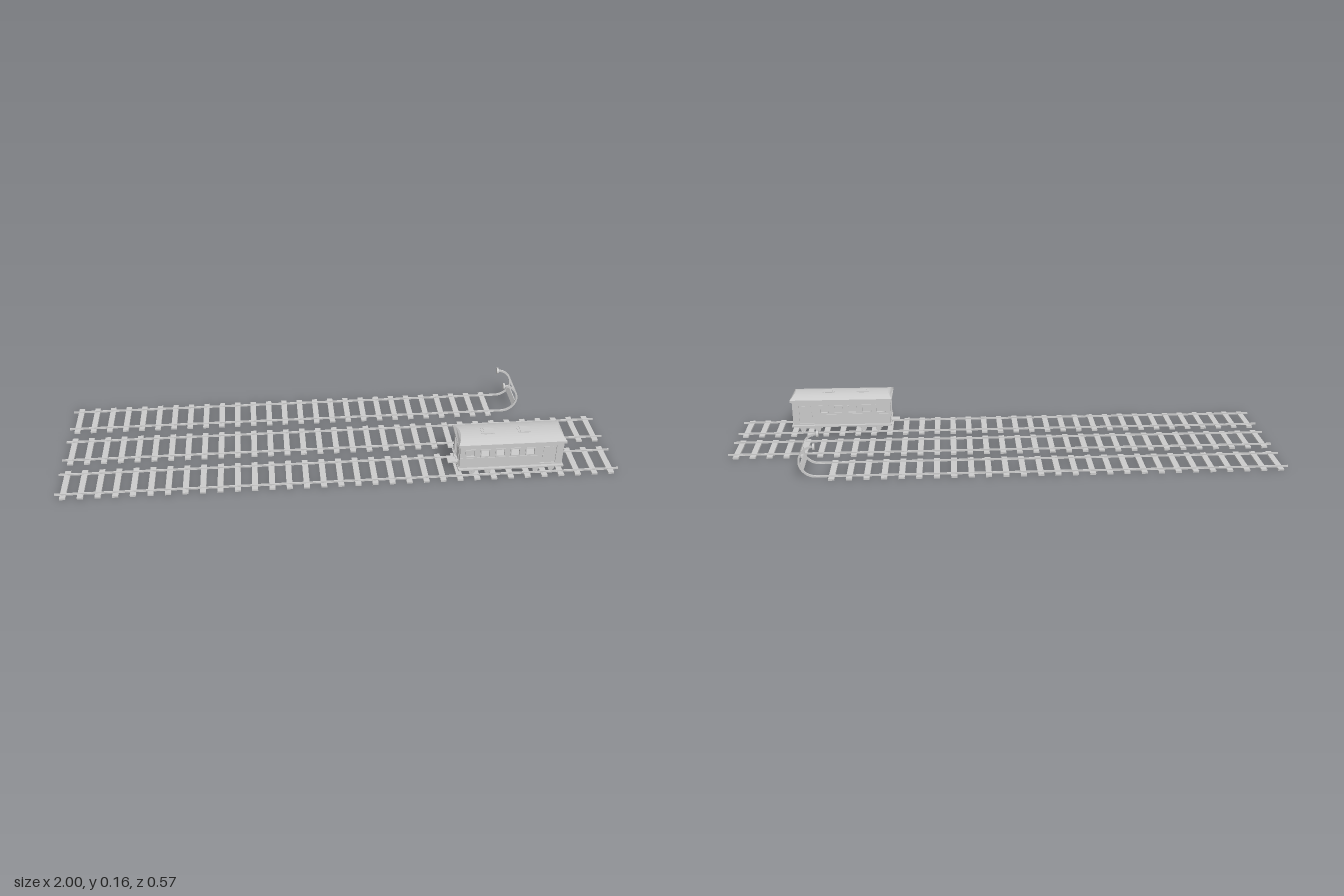
import * as THREE from 'three';

const mat = new THREE.MeshStandardMaterial({ color: 0xcccccc, flatShading: true });

function add(parent, name, geo, x = 0, y = 0, z = 0) {
  const m = new THREE.Mesh(geo, mat);
  m.name = name;
  m.position.set(x, y, z);
  parent.add(m);
  return m;
}

// Box given by its limits on each axis
function span(parent, name, x0, x1, y0, y1, z0, z1) {
  return add(parent, name, new THREE.BoxGeometry(x1 - x0, y1 - y0, z1 - z0),
    (x0 + x1) / 2, (y0 + y1) / 2, (z0 + z1) / 2);
}

function rectangle(target, x0, x1, y0, y1) {
  target.moveTo(x0, y0).lineTo(x1, y0).lineTo(x1, y1).lineTo(x0, y1).closePath();
  return target;
}

// Flat panel with rectangular openings, each [x0, x1, y0, y1]
function panel(x0, x1, y0, y1, depth, openings) {
  const shape = rectangle(new THREE.Shape(), x0, x1, y0, y1);
  for (const o of openings) shape.holes.push(rectangle(new THREE.Path(), ...o));
  return new THREE.ExtrudeGeometry(shape, { depth, bevelEnabled: false });
}

const GAUGE = 0.0575;

function track(z, ties, railEnd) {
  const g = new THREE.Group();
  g.name = 'track';
  g.position.z = z;
  for (let i = 0; i < ties; i++) {
    const x = -0.97 + i * 0.0606;
    span(g, 'tie', x - 0.0105, x + 0.0105, 0, 0.007, -0.0805, 0.0805);
  }
  for (const s of [-1, 1]) {
    span(g, 'railFoot', -1, railEnd, 0.005, 0.0075, s * GAUGE - 0.004, s * GAUGE + 0.004);
    span(g, 'railHead', -1, railEnd, 0.0075, 0.011, s * GAUGE - 0.0025, s * GAUGE + 0.0025);
  }
  return g;
}

// Rails bent upward at the end of the track, with cross plates and round pads
function bufferStop() {
  const g = new THREE.Group();
  g.name = 'bufferStop';
  const cx = 0.66, cy = 0.0635, r = 0.056, a0 = -Math.PI / 2, a1 = 1.45;
  const arc = new THREE.Shape();
  arc.absarc(cx, cy, r + 0.0035, a0, a1, false);
  arc.absarc(cx, cy, r - 0.0035, a1, a0, true);
  const bent = new THREE.ExtrudeGeometry(arc, { depth: 0.006, bevelEnabled: false, curveSegments: 16 });
  for (const s of [-1, 1]) {
    add(g, 'bentRail', bent, 0, 0, s * GAUGE - 0.003);
    add(g, 'bufferPad', new THREE.CylinderGeometry(0.0125, 0.0125, 0.007, 12), 0.661, 0.1185, s * GAUGE)
      .rotation.z = Math.PI / 2;
  }
  for (const a of [0.52, -0.5]) {
    add(g, 'crossPlate', new THREE.BoxGeometry(0.005, 0.021, 2 * GAUGE),
      cx + r * Math.cos(a), cy + r * Math.sin(a), 0).rotation.z = a;
  }
  return g;
}

const X0 = 0.42, X1 = 0.79, HALF = 0.056, WALL = 0.004;

function sideWall(s) {
  const g = new THREE.Group();
  g.name = 'sideWall';
  const windows = [0.457, 0.51, 0.564, 0.617, 0.671].map(x => [x - 0.014, x + 0.014, 0.088, 0.113]);
  const door = [0.71, 0.765, 0.045, 0.119];
  const outer = s * HALF;
  add(g, 'wall', panel(X0, X1, 0.036, 0.135, WALL, [...windows, door]), 0, 0, s > 0 ? outer - WALL : outer);
  // Raised frames around the windows
  for (const [a, b, c, d] of windows) {
    add(g, 'windowFrame', panel(a - 0.004, b + 0.004, c - 0.004, d + 0.004, 0.003, [[a, b, c, d]]),
      0, 0, s > 0 ? outer : outer - 0.003);
  }
  // Recessed door with an upper panel
  const z = s * (HALF - 0.007);
  span(g, 'sideDoor', 0.708, 0.767, 0.04, 0.122, z - 0.002, z + 0.002);
  const f = s * (HALF - 0.004);
  span(g, 'doorPanel', 0.72, 0.755, 0.085, 0.112, f - 0.001, f + 0.001);
  span(g, 'doorHandle', 0.717, 0.72, 0.07, 0.08, f - 0.003, f + 0.003);
  span(g, 'beltRail', X0, 0.706, 0.078, 0.081, outer - 0.002, outer + 0.002);
  return g;
}

// End wall with a deep, splayed door opening
function endWall(s) {
  const g = new THREE.Group();
  g.name = 'endWall';
  g.position.x = s > 0 ? X1 : X0;
  g.rotation.y = s * Math.PI / 2;
  add(g, 'wall', panel(-HALF, HALF, 0.036, 0.135, WALL, [[-0.036, 0.036, 0.04, 0.123]]), 0, 0, -WALL);
  add(g, 'endFrame', panel(-0.041, 0.041, 0.037, 0.127, 0.002, [[-0.036, 0.036, 0.04, 0.123]]));
  for (const k of [-1, 1]) {
    add(g, 'splayedJamb', new THREE.BoxGeometry(0.021, 0.085, 0.003), k * 0.029, 0.0815, -0.009)
      .rotation.y = k * 0.75;
  }
  span(g, 'recessCeiling', -0.036, 0.036, 0.121, 0.124, -0.018, -0.002);
  span(g, 'endDoor', -0.024, 0.024, 0.038, 0.123, -0.019, -0.015);
  span(g, 'doorPanel', -0.015, 0.015, 0.045, 0.113, -0.015, -0.013);
  span(g, 'doorSill', -0.024, 0.024, 0.02, 0.036, -0.01, 0.001);
  return g;
}

function roof() {
  const g = new THREE.Group();
  g.name = 'roof';
  const length = 0.384;
  const section = new THREE.Shape();
  section.moveTo(-0.0665, 0.133).lineTo(0.0665, 0.133).lineTo(0.0665, 0.142);
  section.quadraticCurveTo(0.035, 0.1545, 0, 0.1545).quadraticCurveTo(-0.035, 0.1545, -0.0665, 0.142);
  const geo = new THREE.ExtrudeGeometry(section, { depth: length, bevelEnabled: false, curveSegments: 6 });
  geo.translate(0, 0, -length / 2).rotateY(Math.PI / 2);
  // Slope the ends inward above the eaves
  const p = geo.attributes.position;
  for (let i = 0; i < p.count; i++) {
    p.setX(i, p.getX(i) - Math.sign(p.getX(i)) * Math.max(0, p.getY(i) - 0.142) * 1.2);
  }
  geo.computeVertexNormals();
  add(g, 'roofShell', geo, 0.604);
  for (const x of [0.524, 0.654]) {
    span(g, 'roofVent', x - 0.023, x + 0.023, 0.15, 0.1555, -0.016, 0.016);
    span(g, 'ventCap', x - 0.014, x + 0.014, 0.15, 0.157, -0.018, 0.018);
  }
  return g;
}

function bogie(x) {
  const g = new THREE.Group();
  g.name = 'bogie';
  g.position.x = x;
  span(g, 'bolster', -0.012, 0.012, 0.022, 0.034, -0.045, 0.045);
  for (const s of [-1, 1]) {
    span(g, 'bogieFrame', -0.045, 0.045, 0.022, 0.028, s * 0.048 - 0.002, s * 0.048 + 0.002);
    const axle = add(g, 'axle', new THREE.CylinderGeometry(0.003, 0.003, 2 * GAUGE, 8), s * 0.028, 0.022, 0);
    axle.rotation.x = Math.PI / 2;
    for (const k of [-1, 1]) {
      add(g, 'wheel', new THREE.CylinderGeometry(0.011, 0.011, 0.006, 14), s * 0.028, 0.022, k * 0.054)
        .rotation.x = Math.PI / 2;
    }
  }
  return g;
}

function carriage() {
  const g = new THREE.Group();
  g.name = 'carriage';
  g.position.z = 0.2025;
  span(g, 'floor', X0 - 0.004, X1 + 0.004, 0.033, 0.039, -0.0665, 0.0665);
  span(g, 'underframe', 0.45, 0.76, 0.027, 0.033, -0.035, 0.035);
  span(g, 'couplerStep', 0.387, 0.42, 0.033, 0.039, -0.016, 0.016);
  span(g, 'equipmentBox', 0.575, 0.635, 0.019, 0.033, -0.03, 0.03);
  span(g, 'closet', X0 + 0.005, 0.482, 0.039, 0.133, -0.034, 0.034);
  for (const s of [-1, 1]) g.add(sideWall(s), endWall(s));
  g.add(roof(), bogie(0.495), bogie(0.725));
  return g;
}

export function createModel() {
  const model = new THREE.Group();
  model.name = 'railwayYard';
  model.add(track(0.2025, 33, 1), track(0, 33, 1), track(-0.2025, 27, 0.66));
  const stop = bufferStop();
  stop.position.z = -0.2025;
  model.add(stop, carriage());
  return model;
}
